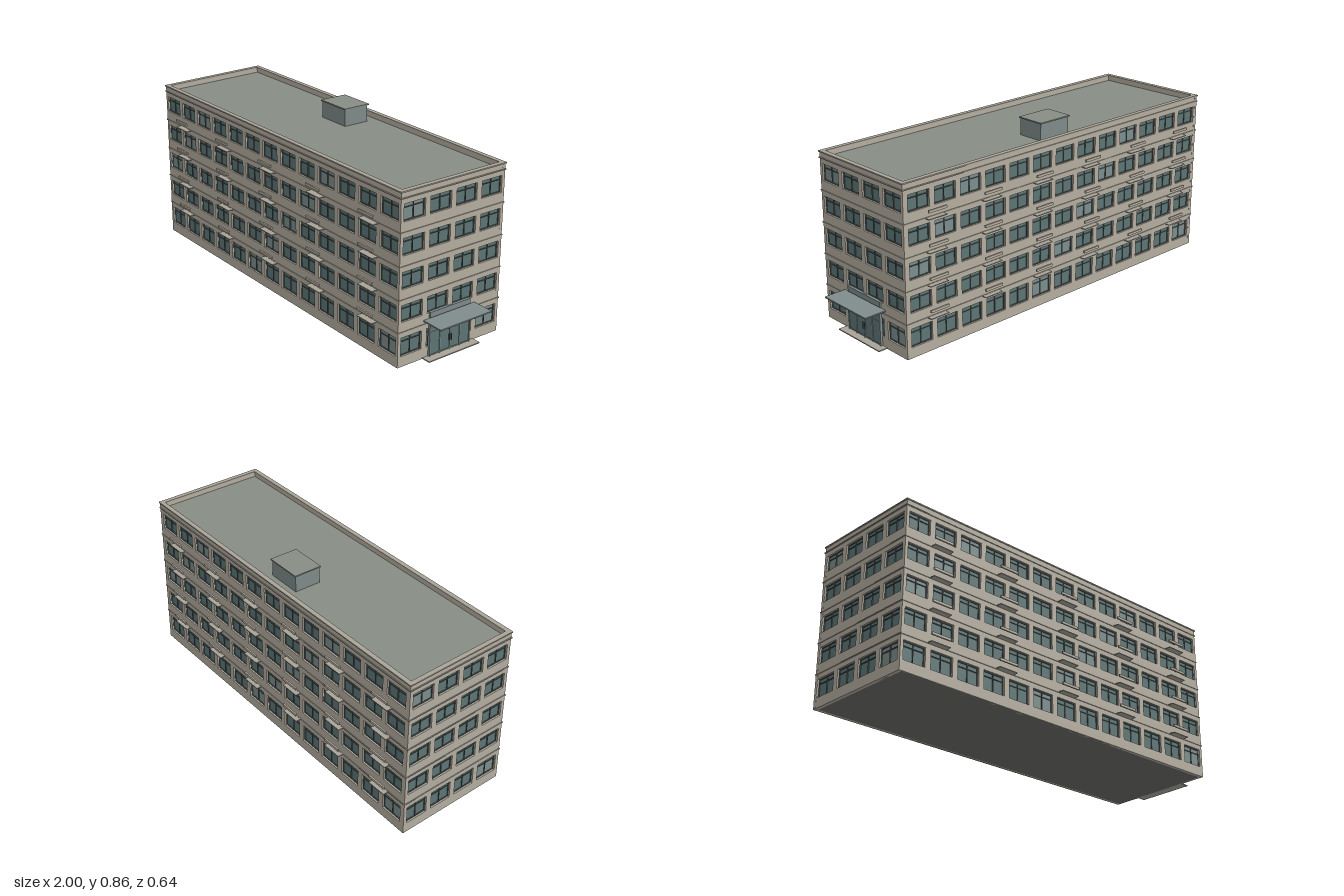
import * as THREE from 'three';

const mat = (color, side = THREE.FrontSide) => new THREE.MeshStandardMaterial({ color, side });
const M = {
  wall: mat(0xb6afa2), trim: mat(0xa9a498), glass: mat(0x5f7676), paleGlass: mat(0x7d8f8e),
  frame: mat(0x4b5757), roof: mat(0x878c84), metal: mat(0x7f8c8b), base: mat(0x6a6a68, THREE.DoubleSide),
};
const unit = new THREE.BoxGeometry(1, 1, 1);

// Box given by its min and max along each axis
function box(parent, name, m, x0, x1, y0, y1, z0, z1) {
  const b = new THREE.Mesh(unit, m);
  b.name = name;
  b.scale.set(x1 - x0, y1 - y0, z1 - z0);
  b.position.set((x0 + x1) / 2, (y0 + y1) / 2, (z0 + z1) / 2);
  parent.add(b);
  return b;
}

function rect(Type, x0, x1, y0, y1) {
  const r = new Type();
  r.moveTo(x0, y0); r.lineTo(x1, y0); r.lineTo(x1, y1); r.lineTo(x0, y1); r.closePath();
  return r;
}

const HEIGHT = 0.803, PITCH = 0.1437, WIN = 0.115, THICK = 0.016;
const rows = [[0.05, 0.139], [0.212, 0.291], [0.365, 0.444], [0.518, 0.597], [0.67, 0.749]];
const floors = [0.165, 0.317, 0.47, 0.623];
// Plan corners: back left, front left, front right, back right
const corners = [[-1, -0.291], [-0.977, 0.291], [0.89, 0.285], [0.89, -0.294]];

// Window frame with two upper and two lower panes, one for each opening height
function frameGeometry(h) {
  const t = 0.0035, w = WIN / 2, k = h * 0.74;
  const s = rect(THREE.Shape, -w, w, 0, h);
  for (const [a, b] of [[-w + t, -t / 2], [t / 2, w - t]]) {
    s.holes.push(rect(THREE.Path, a, b, t, k - t / 2), rect(THREE.Path, a, b, k + t / 2, h - t));
  }
  return new THREE.ExtrudeGeometry(s, { depth: 0.004, bevelEnabled: false });
}

// One facade from p to q: local x runs along the wall, local z points outward
function facade(name, p, q, count, paleOffset, frames) {
  const g = new THREE.Group();
  g.name = name;
  const dx = q[0] - p[0], dz = q[1] - p[1], len = Math.hypot(dx, dz);
  g.position.set(p[0], 0, p[1]);
  g.rotation.y = Math.atan2(-dz, dx);

  const shape = rect(THREE.Shape, 0, len, 0, HEIGHT);
  rows.forEach(([y0, y1], r) => {
    for (let i = 0; i < count; i++) {
      const c = len / 2 + (i - (count - 1) / 2) * PITCH;
      shape.holes.push(rect(THREE.Path, c - WIN / 2, c + WIN / 2, y0, y1));
      const pale = (i - r - paleOffset + 14) % 7 === 0;
      box(g, 'windowGlass', pale ? M.paleGlass : M.glass, c - WIN / 2, c + WIN / 2, y0, y1, -0.015, -0.012);
      const f = new THREE.Mesh(frames[r], M.frame);
      f.name = 'windowFrame';
      f.position.set(c, y0, -0.012);
      g.add(f);
    }
  });
  const wall = new THREE.Mesh(new THREE.ExtrudeGeometry(shape, { depth: THICK, bevelEnabled: false }), M.wall);
  wall.name = 'wall';
  wall.position.z = -THICK;
  g.add(wall);

  // Floor bands, cornice band and parapet coping
  for (const y of floors) box(g, 'floorBand', M.trim, -0.003, len + 0.003, y - 0.003, y + 0.002, -0.005, 0.003);
  box(g, 'corniceBand', M.trim, -0.004, len + 0.004, 0.772, 0.777, -0.005, 0.004);
  box(g, 'coping', M.trim, -0.004, len + 0.004, 0.8, 0.806, -THICK - 0.003, 0.004);
  return g;
}

// Horizontal slab with the building's plan
function planSlab(name, m, y, depth) {
  const s = new THREE.Shape(corners.map(([x, z]) => new THREE.Vector2(x * 0.996, -z * 0.985)));
  const slab = new THREE.Mesh(new THREE.ExtrudeGeometry(s, { depth, bevelEnabled: false }), m);
  slab.name = name;
  slab.rotation.x = -Math.PI / 2;
  slab.position.y = y;
  return slab;
}

// Small shelf with a floating rail in front, on the front (s = 1) or back (s = -1)
function ledge(parent, x, y, s) {
  const g = new THREE.Group();
  g.name = 'equipmentLedge';
  box(g, 'shelf', M.trim, x - 0.05, x + 0.05, y - 0.003, y + 0.001, s > 0 ? 0.28 : -0.32, s > 0 ? 0.319 : -0.285);
  box(g, 'rail', M.wall, x - 0.05, x + 0.05, y + 0.029, y + 0.041, s > 0 ? 0.313 : -0.322, s > 0 ? 0.321 : -0.314);
  parent.add(g);
}

function entrance() {
  const g = new THREE.Group();
  g.name = 'entrance';
  box(g, 'step', M.trim, 0.885, 0.935, 0, 0.005, -0.15, 0.145);
  box(g, 'doorGlass', M.glass, 0.885, 0.898, 0.008, 0.177, -0.118, 0.113);
  for (const z of [-0.117, -0.06, -0.003, 0.055, 0.112]) {
    box(g, 'doorMullion', M.metal, 0.89, 0.901, 0.005, 0.177, z - 0.0025, z + 0.0025);
  }
  for (const y of [0.01, 0.118, 0.174]) {
    box(g, 'doorRail', M.metal, 0.89, 0.9, y - 0.002, y + 0.002, -0.118, 0.113);
  }
  for (const z of [-0.009, 0.003]) box(g, 'doorHandle', M.frame, 0.898, 0.905, 0.048, 0.08, z - 0.001, z + 0.001);
  // Canopy on ribs, with a plain panel above it
  box(g, 'canopy', M.metal, 0.885, 1, 0.179, 0.185, -0.15, 0.145);
  for (let i = 0; i < 8; i++) {
    const z = -0.135 + i * 0.038;
    box(g, 'canopyRib', M.frame, 0.89, 0.99, 0.171, 0.179, z - 0.003, z + 0.003);
  }
  box(g, 'signPanel', M.metal, 0.885, 0.898, 0.19, 0.216, -0.118, 0.113);
  return g;
}

export function createModel() {
  const model = new THREE.Group();
  model.name = 'officeBuilding';

  const frames = rows.map(([a, b]) => frameGeometry(b - a));
  const [bl, fl, fr, br] = corners;
  model.add(
    facade('frontFacade', fl, fr, 13, 5, frames),
    facade('leftFacade', fr, br, 4, 3, frames),
    facade('backFacade', br, bl, 13, 5, frames),
    facade('rightFacade', bl, fl, 4, 3, frames),
    planSlab('baseSlab', M.base, 0, 0.01),
    planSlab('roofDeck', M.roof, 0.765, 0.012),
    entrance(),
  );

  // Ledges at each floor line
  for (const y of floors) {
    for (let i = 0; i < 5; i++) ledge(model, -0.79 + i * 0.373, y, 1);
    for (let i = 0; i < 6; i++) ledge(model, -0.845 + i * 0.314, y, -1);
  }

  // Stair housing on the roof
  const hut = new THREE.Group();
  hut.name = 'roofHousing';
  box(hut, 'housingWalls', M.metal, -0.143, 0.033, 0.77, 0.858, -0.222, -0.09);
  box(hut, 'housingCap', M.roof, -0.148, 0.038, 0.858, 0.864, -0.228, -0.085);
  model.add(hut);
  return model;
}
